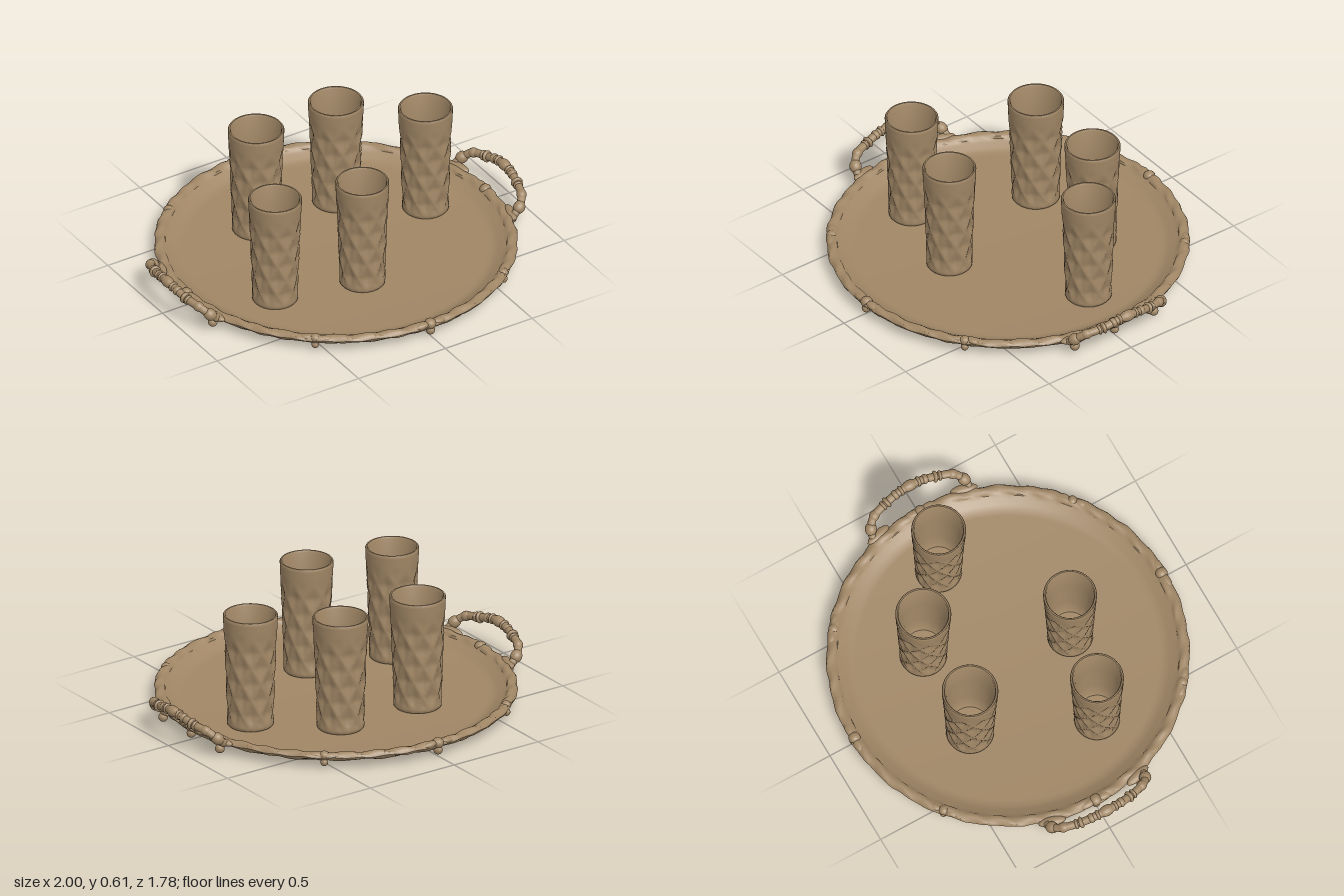
import * as THREE from 'three';
import { mergeVertices, toCreasedNormals } from 'three/addons/utils/BufferGeometryUtils.js';

const bronze = new THREE.MeshStandardMaterial({ color: 0xa08665 });
bronze.name = 'antique bronze';

function add(parent, name, geometry, x = 0, y = 0, z = 0) {
  const mesh = new THREE.Mesh(geometry, bronze);
  mesh.name = name;
  mesh.position.set(x, y, z);
  parent.add(mesh);
  return mesh;
}

// Lathe whose points are shifted by rule(angle, radius, y, row) -> [radius, y], closed without a seam
function reliefLathe(profile, segments, rule, crease) {
  const g = new THREE.LatheGeometry(profile.map(([r, y]) => new THREE.Vector2(r, y)), segments);
  const p = g.attributes.position;
  for (let i = 0; i < p.count; i++) {
    const row = i % profile.length;
    const a = Math.floor(i / profile.length) % segments * Math.PI * 2 / segments;
    const [r, y] = rule(a, profile[row][0], profile[row][1], row);
    p.setXYZ(i, r * Math.sin(a), y, r * Math.cos(a));
  }
  g.deleteAttribute('uv');
  g.deleteAttribute('normal');
  return toCreasedNormals(mergeVertices(g, 1e-5), crease);
}

// Round dish with a chased underside and a rolled, wavy rim
function trayGeometry() {
  const profile = [
    [0, 0], [0.73, 0], [0.76, 0.008], [0.79, 0.018], [0.82, 0.03], [0.845, 0.04], [0.865, 0.046],
    [0.88, 0.054], [0.886, 0.065], [0.88, 0.077], [0.865, 0.084], [0.85, 0.083], [0.838, 0.076],
    [0.832, 0.066], [0.815, 0.058], [0.79, 0.042], [0.765, 0.032], [0.74, 0.03], [0, 0.03],
  ];
  return reliefLathe(profile, 240, (a, r, y, row) => {
    const wave = Math.sin(a * 24) * 0.5 + Math.sin(a * 40 + 1.3) * 0.35 + Math.sin(a * 56 + 0.4) * 0.25;
    if (row >= 2 && row <= 6) return [r, y + 0.005 * Math.sin(a * 24 + row * 1.1) + 0.002 * wave];
    if (row >= 7 && row <= 12) return [r + 0.005 * wave, y + 0.003 * Math.sin(a * 40 + row)];
    return [r, y];
  }, 0.7);
}

// Tumbler with a lattice of pressed diamonds that fades out below the lip
function glassGeometry() {
  const H = 0.585, rows = 46;
  const profile = [[0, 0], [0.1, 0], [0.109, 0.004]];
  for (let i = 0; i <= rows; i++) {
    const t = i / rows;
    profile.push([0.114 + 0.02 * t, 0.01 + (H - 0.015) * t]);
  }
  const outer = profile.length;
  profile.push([0.131, H], [0.124, H], [0.119, H - 0.01], [0.115, 0.4], [0.106, 0.2], [0.1, 0.12], [0.09, 0.1], [0, 0.1]);
  const ridge = v => Math.abs(v - Math.floor(v) - 0.5) * 2;
  return reliefLathe(profile, 64, (a, r, y, row) => {
    if (row < 3 || row >= outer) return [r, y];
    const u = a * 8 / (Math.PI * 2), v = y / 0.17;
    const fade = THREE.MathUtils.smoothstep(y, 0.02, 0.06) * (1 - THREE.MathUtils.smoothstep(y, 0.4, 0.53));
    return [r - 0.017 * fade * (1 - Math.max(ridge(u + v), ridge(u - v))), y];
  }, 0.8);
}

// Ornament clasping the rim: a centre boss, side leaves and a small ball below
function buildClasp(angle, size) {
  const clasp = new THREE.Group();
  clasp.name = 'rimClasp';
  const ball = new THREE.SphereGeometry(1, 14, 10);
  add(clasp, 'claspBoss', ball, 0, 0.07, 0.862).scale.set(0.03, 0.026, 0.03).multiplyScalar(size);
  add(clasp, 'claspFoot', ball, 0, 0.034, 0.863).scale.set(0.022, 0.024, 0.024).multiplyScalar(size);
  for (const s of [-1, 1]) {
    const leaf = add(clasp, 'claspLeaf', ball, s * 0.05, 0.072, 0.863);
    leaf.scale.set(0.042, 0.016, 0.022).multiplyScalar(size);
    leaf.rotation.set(0, s * 0.06, s * -0.1);
  }
  clasp.rotation.y = angle;
  return clasp;
}

// Arched handle on the +x side with collars, a centre knot and root leaves
function buildHandle() {
  const handle = new THREE.Group();
  const path = new THREE.CatmullRomCurve3([
    [0.855, 0.07, -0.27], [0.89, 0.1, -0.262], [0.928, 0.135, -0.225], [0.955, 0.152, -0.14], [0.969, 0.172, -0.05],
    [0.969, 0.172, 0.05], [0.955, 0.152, 0.14], [0.928, 0.135, 0.225], [0.89, 0.1, 0.262], [0.855, 0.07, 0.27],
  ].map(p => new THREE.Vector3(...p)));
  add(handle, 'handleBar', new THREE.TubeGeometry(path, 72, 0.02, 12));
  const forward = new THREE.Vector3(0, 0, 1);
  const bead = new THREE.SphereGeometry(1, 14, 10);
  const beads = [
    [0.5, 0.028, 0.045], [0.43, 0.027, 0.012], [0.38, 0.025, 0.02], [0.3, 0.03, 0.014],
    [0.265, 0.026, 0.012], [0.17, 0.025, 0.03], [0.07, 0.03, 0.035],
  ];
  for (const [t, radius, length] of beads) {
    for (const s of t === 0.5 ? [t] : [t, 1 - t]) {
      const knob = add(handle, 'handleBead', bead);
      knob.position.copy(path.getPointAt(s));
      knob.quaternion.setFromUnitVectors(forward, path.getTangentAt(s));
      knob.scale.set(radius, radius, length);
    }
  }
  // Leaves and balls where the handle meets the rim
  for (const s of [-1, 1]) {
    const leaf = add(handle, 'handleRoot', bead, 0.855, 0.07, s * 0.24);
    leaf.scale.set(0.026, 0.02, 0.07);
    leaf.rotation.y = -s * 0.27;
    add(handle, 'handleRootBall', bead, 0.862, 0.035, s * 0.24).scale.setScalar(0.024);
  }
  return handle;
}

export function createModel() {
  const model = new THREE.Group();
  model.name = 'trayWithGlasses';
  add(model, 'tray', trayGeometry());

  // Clasps at the four quarters and on the diagonals
  for (let i = 0; i < 4; i++) model.add(buildClasp(i * Math.PI / 2, 1));
  for (const a of [0.68, -0.68, Math.PI - 0.68, Math.PI + 0.68]) model.add(buildClasp(a, 0.85));

  // Handles
  const left = buildHandle();
  left.name = 'leftHandle';
  const right = buildHandle();
  right.name = 'rightHandle';
  right.rotation.y = Math.PI;
  model.add(left, right);

  // Five tumblers standing on the tray
  const glass = glassGeometry();
  const places = [[-0.24, -0.35, 1.03], [0.22, -0.35, 1.02], [0.56, -0.07, 1], [-0.49, 0.22, 0.98], [-0.05, 0.32, 0.98]];
  places.forEach(([x, z, s], i) => {
    const tumbler = add(model, 'glass', glass, x, 0.03, z);
    tumbler.scale.set(s, 1, s);
    tumbler.rotation.y = i * 0.5;
  });
  return model;
}
